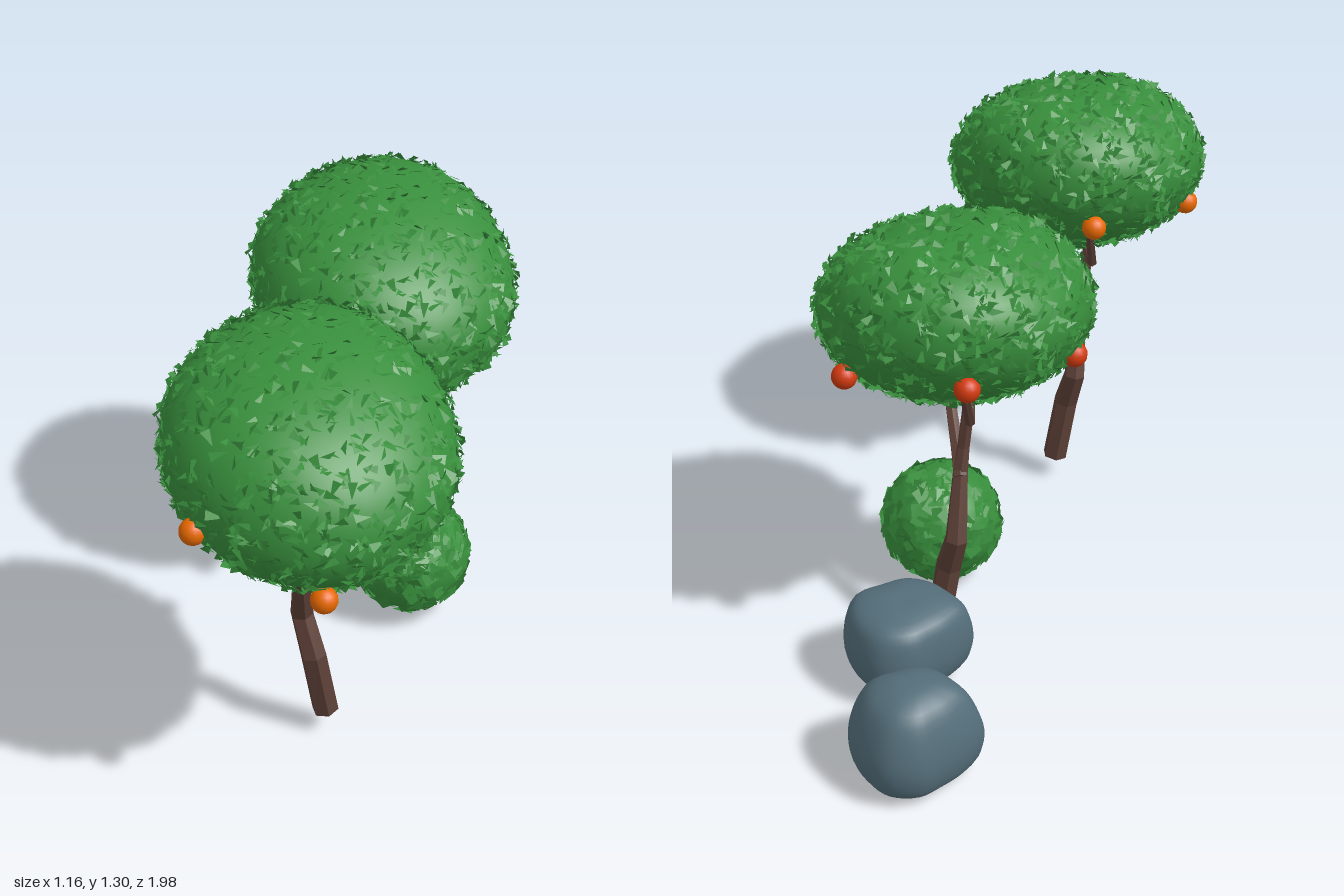
import * as THREE from 'three';
import { mergeVertices } from 'three/addons/utils/BufferGeometryUtils.js';

const paint = (name, color, side = THREE.FrontSide) => {
  const m = new THREE.MeshStandardMaterial({ color, side });
  m.name = name;
  return m;
};

const add = (parent, name, geometry, material) => {
  const mesh = new THREE.Mesh(geometry, material);
  mesh.name = name;
  parent.add(mesh);
  return mesh;
};

// Seeded random numbers from 0 to 1
function randomizer(seed) {
  return () => {
    seed = (seed * 1664525 + 1013904223) % 4294967296;
    return seed / 4294967296;
  };
}

// Moves every vertex by a rule, then smooths the welded surface
function reshape(geometry, rule) {
  const p = geometry.attributes.position;
  const v = new THREE.Vector3();
  for (let i = 0; i < p.count; i++) {
    rule(v.fromBufferAttribute(p, i));
    p.setXYZ(i, v.x, v.y, v.z);
  }
  geometry.deleteAttribute('uv');
  geometry.deleteAttribute('normal');
  const welded = mergeVertices(geometry, 1e-5);
  welded.computeVertexNormals();
  return welded;
}

// Flat-shaded limb with a six-sided section; nodes are [x, y, z, radius]
function limb(nodes) {
  const sides = 6, pos = [], index = [];
  const pts = nodes.map(n => new THREE.Vector3(n[0], n[1], n[2]));
  const last = pts.length - 1;
  pts.forEach((p, i) => {
    const t = new THREE.Vector3();
    if (i > 0) t.add(p.clone().sub(pts[i - 1]).normalize());
    if (i < last) t.add(pts[i + 1].clone().sub(p).normalize());
    t.normalize();
    const u = new THREE.Vector3(1, 0, 0).addScaledVector(t, -t.x).normalize();
    const w = t.clone().cross(u);
    for (let j = 0; j < sides; j++) {
      const a = (j + 0.5) / sides * Math.PI * 2;
      const q = p.clone().addScaledVector(u, Math.cos(a) * nodes[i][3]).addScaledVector(w, Math.sin(a) * nodes[i][3]);
      pos.push(q.x, q.y, q.z);
      if (i < last) {
        const A = i * sides + j, B = i * sides + (j + 1) % sides;
        index.push(A, B, B + sides, A, B + sides, A + sides);
      }
    }
  });
  const top = last * sides;
  for (let j = 1; j < sides - 1; j++) index.push(0, j + 1, j, top, top + j, top + j + 1);
  const g = new THREE.BufferGeometry();
  g.setAttribute('position', new THREE.Float32BufferAttribute(pos, 3));
  g.setIndex(index);
  const flat = g.toNonIndexed();
  flat.computeVertexNormals();
  return flat;
}

// Scatters small tilted leaves over a rounded form
function leaves(shape, radii, count, length, width, tilt, square, seed) {
  const rnd = randomizer(seed), pos = [];
  const Z = new THREE.Vector3(0, 0, 1);
  const corners = square
    ? [[-1, -1], [1, -1], [1, 1], [-1, -1], [1, 1], [-1, 1]]
    : [[-1, -1], [1, -1], [0.3, 1]];
  for (let i = 0; i < count; i++) {
    const y = rnd() * 2 - 1, a = rnd() * Math.PI * 2, r = Math.sqrt(1 - y * y);
    const dir = new THREE.Vector3(r * Math.cos(a), y, r * Math.sin(a));
    const normal = dir.clone().divide(radii).normalize();
    const center = shape(dir.clone()).addScaledVector(normal, 0.004);
    const turn = new THREE.Quaternion().setFromUnitVectors(Z, normal)
      .multiply(new THREE.Quaternion().setFromEuler(
        new THREE.Euler((rnd() - 0.5) * 2 * tilt, (rnd() - 0.5) * 2 * tilt, rnd() * 6.28, 'ZXY')));
    const s = 0.7 + 0.6 * rnd();
    for (const [cx, cy] of corners) {
      const c = new THREE.Vector3(cx * width * s / 2, cy * length * s / 2, 0).applyQuaternion(turn).add(center);
      pos.push(c.x, c.y, c.z);
    }
  }
  const g = new THREE.BufferGeometry();
  g.setAttribute('position', new THREE.Float32BufferAttribute(pos, 3));
  g.computeVertexNormals();
  return g;
}

// Rounded rock: turned profile pushed out to an uneven plan outline
const ROCK_PLAN = [0.172, 0.18, 0.15, 0.155, 0.152, 0.152, 0.175, 0.145, 0.136, 0.157, 0.17, 0.165];
function rock(profile) {
  const n = ROCK_PLAN.length;
  const plan = new THREE.CatmullRomCurve3(ROCK_PLAN.map((r, i) =>
    new THREE.Vector3(r * Math.cos(i / n * Math.PI * 2), 0, r * Math.sin(i / n * Math.PI * 2))), true);
  const line = new THREE.SplineCurve(profile.map(p => new THREE.Vector2(p[0], p[1]))).getPoints(28);
  line.forEach(p => { p.x = Math.max(0, p.x); });
  return reshape(new THREE.LatheGeometry(line, 48), v => {
    const r = Math.hypot(v.x, v.z);
    const t = (Math.atan2(v.z, v.x) / (Math.PI * 2) + 1) % 1;
    const p = plan.getPoint(t);
    v.x = p.x * r;
    v.z = p.z * r;
  });
}

export function createModel() {
  const model = new THREE.Group();
  model.name = 'orchardGroup';
  const bark = paint('bark brown', 0x5d4037);
  const green = paint('foliage green', 0x388e3c);
  const leafGreen = paint('leaf green', 0x388e3c, THREE.DoubleSide);
  const stone = paint('stone grey', 0x546e7a);
  const orange = paint('orange fruit', 0xef6c00);
  const red = paint('red fruit', 0xd33a0f);

  // Crown: tilted ellipsoid, higher at the back, with a slight dip on top
  const crownRadii = new THREE.Vector3(0.36, 0.25, 0.38);
  const crownShape = v => {
    const q = (v.z - v.x) * Math.SQRT1_2;
    const lift = v.y > 0 ? 0.95 + 0.25 * q * q : 1;
    return v.set(-0.205 + v.x * 0.36, 1.04 + v.y * 0.25 * lift - v.z * 0.07, 0.585 + v.z * 0.38);
  };
  const crownGeo = reshape(new THREE.SphereGeometry(1, 40, 26), crownShape);
  const crownLeaves = leaves(crownShape, crownRadii, 2200, 0.036, 0.02, 0.7, false, 7);
  const trunkGeo = limb([
    [-0.135, 0.083, 0.478, 0.037], [-0.168, 0.28, 0.478, 0.036], [-0.188, 0.395, 0.437, 0.032],
    [-0.207, 0.57, 0.505, 0.022], [-0.217, 0.64, 0.518, 0.018], [-0.235, 0.79, 0.515, 0.017],
    [-0.225, 0.82, 0.36, 0.014], [-0.2, 1.0, 0.265, 0.012]]);
  const branchGeo = limb([
    [-0.205, 0.56, 0.49, 0.02], [-0.203, 0.605, 0.545, 0.019], [-0.19, 0.715, 0.722, 0.015], [-0.185, 0.87, 0.722, 0.012]]);
  const fruitGeo = new THREE.SphereGeometry(0.034, 16, 12);
  const fruitSpots = [
    [-0.255, 0.82, 0.91], [-0.04, 0.828, 0.635], [0.09, 0.945, 0.41], [-0.21, 1.005, 0.22],
    [-0.53, 0.955, 0.745], [-0.5, 0.97, 0.42], [-0.375, 0.87, 0.5]];

  // Two fruit trees of the same form
  [['frontTree', 0, 0, 0, orange], ['backTree', 0.41, -0.03, -0.762, red]].forEach(([name, x, y, z, fruit]) => {
    const tree = new THREE.Group();
    tree.name = name;
    tree.position.set(x, y, z);
    add(tree, 'trunk', trunkGeo, bark);
    add(tree, 'frontBranch', branchGeo, bark);
    add(tree, 'crown', crownGeo, green);
    add(tree, 'crownLeaves', crownLeaves, leafGreen);
    fruitSpots.forEach(s => add(tree, 'fruit', fruitGeo, fruit).position.set(...s));
    model.add(tree);
  });

  // Round bush with broad leaves
  const bush = new THREE.Group();
  bush.name = 'bush';
  bush.position.set(0.245, 0.195, 0.01);
  const bushRadii = new THREE.Vector3(1, 1, 1);
  add(bush, 'bushBody', new THREE.SphereGeometry(0.164, 28, 18), green);
  add(bush, 'bushLeaves', leaves(v => v.multiplyScalar(0.165), bushRadii, 420, 0.042, 0.034, 0.35, true, 21), leafGreen);
  model.add(bush);

  // Tall rock behind, flatter rock in front of it
  add(model, 'tallRock', rock([[0, 0.022], [0.55, 0.024], [0.88, 0.05], [1, 0.12], [0.92, 0.195],
    [0.7, 0.268], [0.35, 0.3], [0, 0.306]]), stone).position.set(0.365, 0, -0.84);
  add(model, 'flatRock', rock([[0, 0.038], [0.5, 0.038], [0.86, 0.06], [1, 0.125], [0.96, 0.2],
    [0.8, 0.252], [0.4, 0.273], [0, 0.274]]), stone).position.set(0.365, 0, -0.46);

  return model;
}
